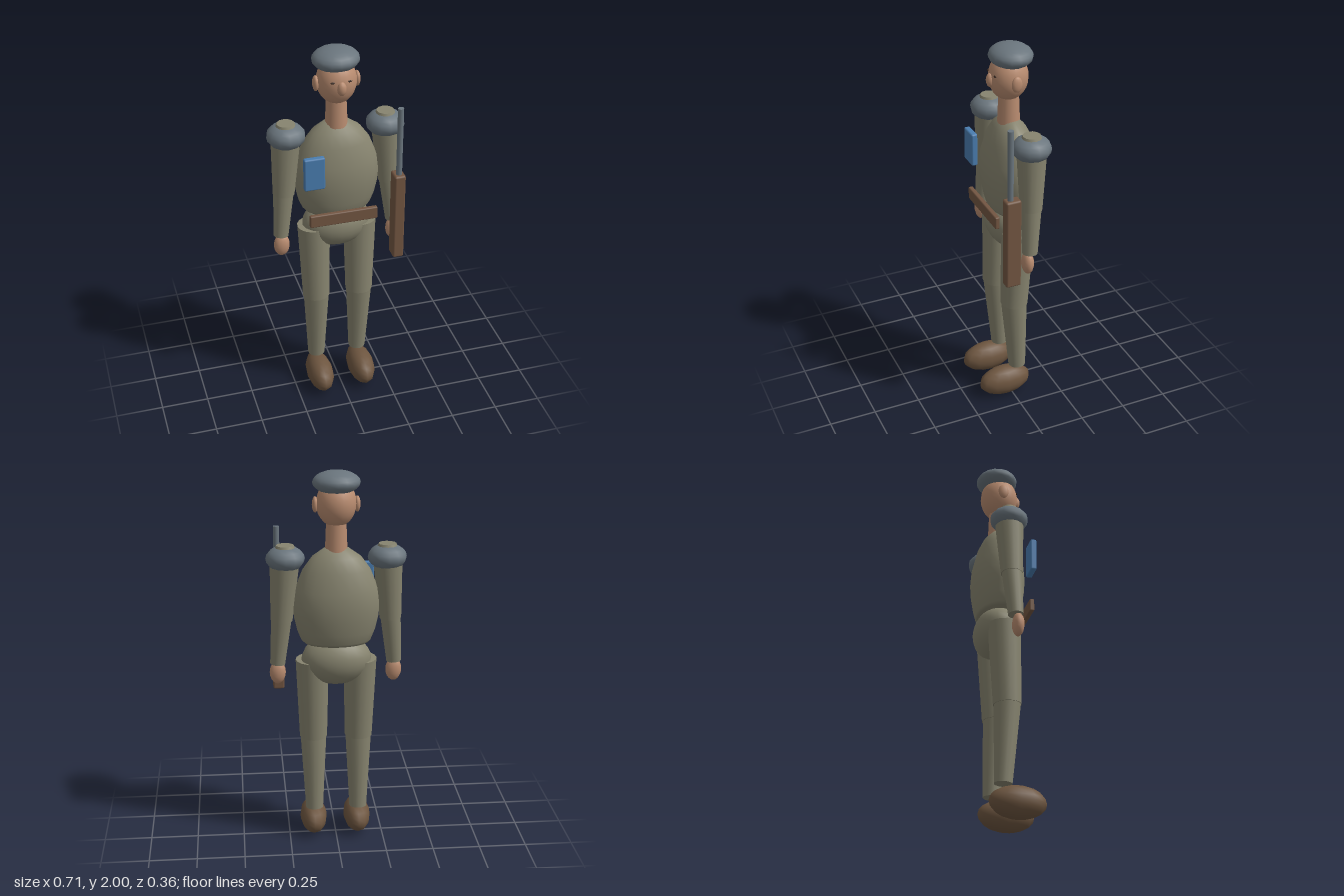
import * as THREE from 'three';
import { RoundedBoxGeometry } from 'three/addons/geometries/RoundedBoxGeometry.js';

const mat = (name, color) => {
  const m = new THREE.MeshStandardMaterial({ color });
  m.name = name;
  return m;
};

export function createModel() {
  const cloth = mat('olive cloth', 0x87846f);
  const skin = mat('skin', 0xb98c70);
  const steel = mat('blue grey', 0x6a757d);
  const leather = mat('boot leather', 0x6e5640);
  const wood = mat('brown wood', 0x735642);
  const blue = mat('blue', 0x4a7db0);
  const dark = mat('dark brown', 0x3a2a22);

  const model = new THREE.Group();
  model.name = 'soldier';

  const add = (name, geometry, material, pos = [0, 0, 0]) => {
    const mesh = new THREE.Mesh(geometry, material);
    mesh.name = name;
    mesh.position.set(...pos);
    model.add(mesh);
    return mesh;
  };

  // Ellipsoid with the given centre and radii
  const ball = (name, material, pos, radii, w = 16, h = 12) =>
    add(name, new THREE.SphereGeometry(1, w, h).scale(...radii), material, pos);

  // Tapered limb from an upper point to a lower point
  const limb = (name, material, from, to, r1, r2, sides = 16) => {
    const a = new THREE.Vector3(...from), b = new THREE.Vector3(...to);
    const axis = a.clone().sub(b);
    const mesh = add(name, new THREE.CylinderGeometry(r1, r2, axis.length(), sides), material);
    mesh.position.copy(a).add(b).multiplyScalar(0.5);
    mesh.quaternion.setFromUnitVectors(new THREE.Vector3(0, 1, 0), axis.normalize());
    return mesh;
  };

  const box = (name, material, pos, size, bevel) =>
    add(name, new RoundedBoxGeometry(...size, 1, bevel), material, pos);

  // Torso: egg-shaped, flattened front to back, cut off at the waist
  const profile = [
    [0, 1.11], [0.165, 1.115], [0.18, 1.13], [0.2, 1.18], [0.216, 1.25], [0.222, 1.32],
    [0.212, 1.4], [0.172, 1.5], [0.125, 1.565], [0.065, 1.608], [0, 1.622],
  ].map(([x, y]) => new THREE.Vector2(x, y));
  add('torso', new THREE.LatheGeometry(profile, 20).scale(1, 1, 0.625), cloth, [0, 0, -0.042]);
  ball('pelvis', cloth, [0, 1.02, -0.043], [0.181, 0.133, 0.123], 20, 14);
  box('belt', wood, [0, 1.127, 0.1], [0.355, 0.067, 0.025], 0.006);
  box('chestPouch', blue, [-0.153, 1.408, 0.104], [0.107, 0.177, 0.033], 0.008);

  // Neck, head and cap
  limb('neck', skin, [0, 1.74, -0.037], [0, 1.59, -0.037], 0.051, 0.057);
  ball('head', skin, [0, 1.835, -0.034], [0.101, 0.12, 0.1], 20, 14);
  ball('nose', skin, [0, 1.83, 0.06], [0.024, 0.037, 0.023], 12, 8);
  ball('cap', steel, [0, 1.943, -0.047], [0.12, 0.058, 0.11], 16, 12);

  for (const s of [1, -1]) {
    const side = s > 0 ? 'left' : 'right';

    // Face
    ball(side + 'Ear', skin, [s * 0.105, 1.83, -0.034], [0.016, 0.041, 0.028], 12, 8);
    ball(side + 'Eye', dark, [s * 0.041, 1.862, 0.054], [0.014, 0.005, 0.004], 10, 6);

    // Arm with shoulder pad
    ball(side + 'ShoulderPad', steel, [s * 0.257, 1.56, -0.043], [0.099, 0.066, 0.099], 12, 10);
    limb(side + 'ShoulderCap', cloth, [s * 0.257, 1.628, -0.043], [s * 0.257, 1.59, -0.043], 0.045, 0.06, 12);
    limb(side + 'UpperArm', cloth, [s * 0.259, 1.56, -0.043], [s * 0.279, 1.235, -0.034], 0.076, 0.056);
    limb(side + 'Forearm', cloth, [s * 0.279, 1.25, -0.034], [s * 0.302, 0.995, -0.02], 0.053, 0.039);
    ball(side + 'Hand', skin, [s * 0.302, 0.942, -0.008], [0.042, 0.063, 0.031], 12, 10);

    // Leg and boot
    limb(side + 'Thigh', cloth, [s * 0.124, 1.02, -0.035], [s * 0.119, 0.583, -0.018], 0.086, 0.072);
    limb(side + 'Shin', cloth, [s * 0.119, 0.6, -0.017], [s * 0.117, 0.172, -0.038], 0.069, 0.046);
    ball(side + 'Boot', leather, [s * 0.118, 0.084, 0.035], [0.072, 0.084, 0.146], 12, 10);
  }

  // Rifle held upright on the left side
  box('rifleStock', wood, [0.295, 1.075, 0.076], [0.059, 0.492, 0.081], 0.01);
  limb('rifleBarrel', steel, [0.295, 1.695, 0.085], [0.295, 1.3, 0.085], 0.0155, 0.0155, 12);

  return model;
}
